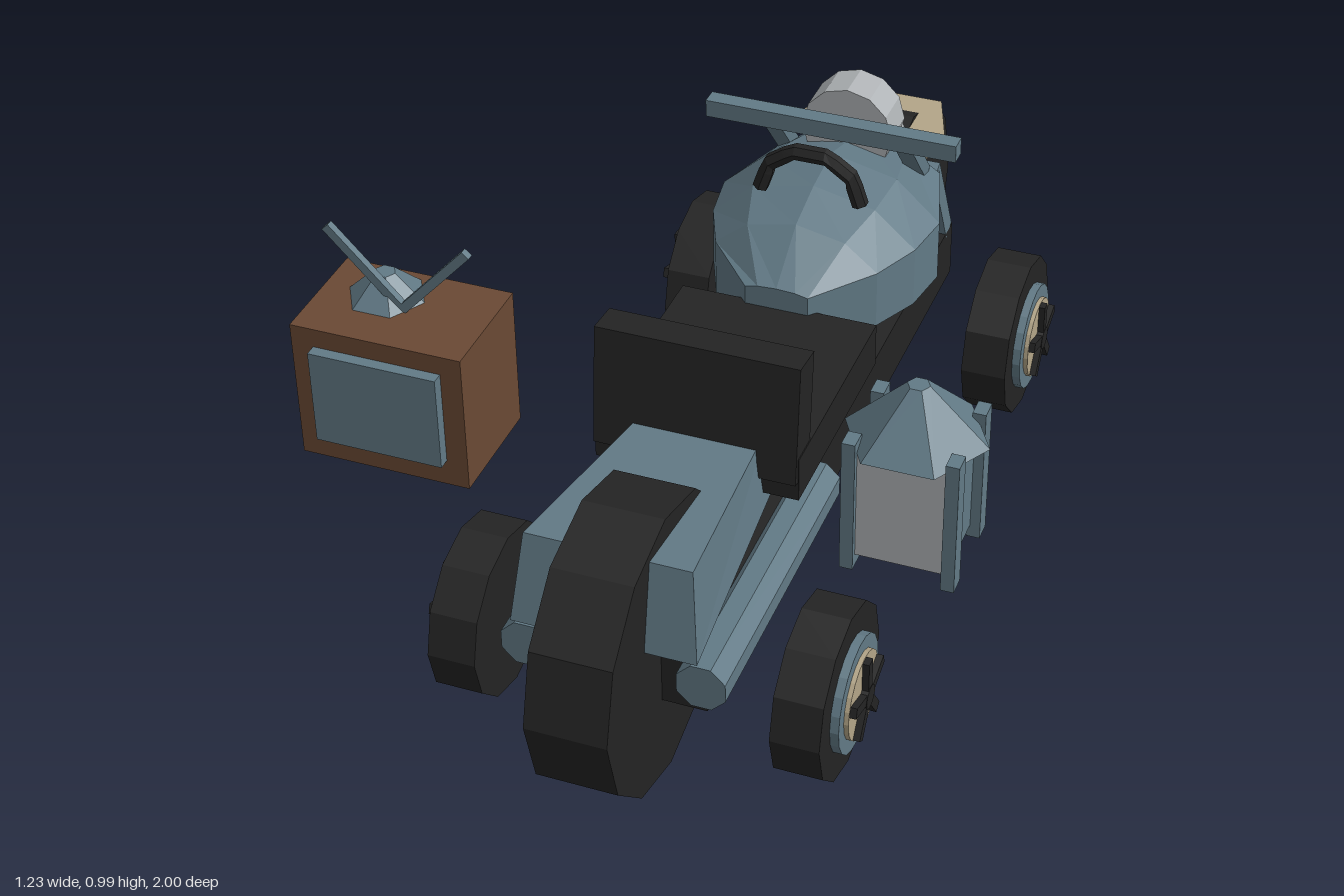
import * as THREE from 'three';

const mat = (name, color) => {
  const m = new THREE.MeshStandardMaterial({ color });
  m.name = name;
  m.flatShading = true;
  return m;
};

export function createModel() {
  const black = mat('black', 0x242424), blue = mat('slate blue', 0x627a86);
  const brown = mat('wood brown', 0x6a4934), tan = mat('tan', 0xb3a588), grey = mat('pale grey', 0xafb3b6);
  const root = new THREE.Group();
  root.name = 'vehicle';

  const add = (name, geo, material, x = 0, y = 0, z = 0, parent = root) => {
    const m = new THREE.Mesh(geo, material);
    m.name = name;
    m.position.set(x, y, z);
    parent.add(m);
    return m;
  };
  // box given by its minimum and maximum on each axis
  const box = (name, material, [x0, x1], [y0, y1], [z0, z1], parent = root) =>
    add(name, new THREE.BoxGeometry(x1 - x0, y1 - y0, z1 - z0), material,
      (x0 + x1) / 2, (y0 + y1) / 2, (z0 + z1) / 2, parent);
  // square bar between two points
  const bar = (name, material, a, b, w, d, parent = root) => {
    const p = new THREE.Vector3(...a), q = new THREE.Vector3(...b);
    const m = add(name, new THREE.BoxGeometry(w, p.distanceTo(q), d), material, 0, 0, 0, parent);
    m.position.copy(p).add(q).multiplyScalar(0.5);
    m.quaternion.setFromUnitVectors(new THREE.Vector3(0, 1, 0), q.sub(p).normalize());
    return m;
  };
  const disc = (r, w, n = 12) => new THREE.CylinderGeometry(r, r, w, n).rotateZ(Math.PI / 2);
  // skin over closed rings, counterclockwise seen from +z, ordered from -z to +z
  const loft = (rings) => {
    const pos = [], n = rings[0].length;
    const tri = (...pts) => pts.forEach((p) => pos.push(...p));
    for (let i = 0; i < rings.length - 1; i++) {
      for (let j = 0; j < n; j++) {
        const k = (j + 1) % n, a = rings[i], b = rings[i + 1];
        tri(a[j], a[k], b[j]);
        tri(a[k], b[k], b[j]);
      }
    }
    const back = rings[0], front = rings[rings.length - 1];
    for (let j = 1; j < n - 1; j++) {
      tri(back[0], back[j + 1], back[j]);
      tri(front[0], front[j], front[j + 1]);
    }
    const g = new THREE.BufferGeometry();
    g.setAttribute('position', new THREE.Float32BufferAttribute(pos, 3));
    g.computeVertexNormals();
    return g;
  };

  // large centre wheels and chassis
  add('frontCentreWheel', disc(0.286, 0.156), black, 0, 0.295, 0.714);
  add('rearCentreWheel', disc(0.286, 0.156), black, 0, 0.295, -0.714);
  box('chassis', black, [-0.165, 0.165], [0.193, 0.318], [-0.74, 0.75]);

  // four outer wheels with spoked hubs
  for (const side of [-1, 1]) {
    for (const z of [-0.593, 0.593]) {
      const w = new THREE.Group();
      w.name = 'outerWheel';
      w.position.set(0, 0.172, z);
      root.add(w);
      add('tyre', disc(0.171, 0.094), black, side * 0.333, 0, 0, w);
      add('rim', disc(0.114, 0.018, 20), blue, side * 0.388, 0, 0, w);
      add('hubPlate', disc(0.086, 0.012, 20), tan, side * 0.4, 0, 0, w);
      add('hubCap', disc(0.024, 0.022, 10), black, side * 0.409, 0, 0, w);
      for (let i = 0; i < 5; i++) {
        const a = (i * Math.PI * 2) / 5;
        const s = add('spoke', new THREE.BoxGeometry(0.02, 0.082, 0.021), black,
          side * 0.409, Math.cos(a) * 0.042, Math.sin(a) * 0.042, w);
        s.rotation.x = a;
      }
    }
    // side pipes
    add('sidePipe', new THREE.CylinderGeometry(0.05, 0.05, 0.625, 8).rotateY(Math.PI / 8).rotateX(Math.PI / 2),
      blue, side * 0.168, 0.283, 0.477);
    // struts of the rear body
    bar('barStrut', blue, [side * 0.14, 0.715, -0.42], [side * 0.14, 0.55, -0.56], 0.036, 0.03);
    bar('lowerStrut', blue, [side * 0.15, 0.53, -0.605], [side * 0.15, 0.315, -0.715], 0.03, 0.04);
  }

  // front hood, widening forward
  const hoodRing = (wb, wt, y0, y1, zb, zt) =>
    [[-wb, y0, zb], [wb, y0, zb], [wt, y1, zt], [-wt, y1, zt]];
  add('hood', loft([
    hoodRing(0.13, 0.115, 0.365, 0.49, 0.29, 0.31),
    hoodRing(0.176, 0.158, 0.368, 0.545, 0.825, 0.79),
  ]), blue);

  // faceted rear body: z, half width, bottom, lower edge, shoulder, top
  const body = [
    [-0.68, 0.145, 0.32, 0.41, 0.49, 0.52],
    [-0.59, 0.175, 0.32, 0.41, 0.535, 0.6],
    [-0.4, 0.232, 0.32, 0.41, 0.54, 0.658],
    [-0.29, 0.215, 0.32, 0.41, 0.54, 0.645],
    [-0.185, 0.17, 0.37, 0.415, 0.54, 0.617],
    [-0.07, 0.065, 0.435, 0.445, 0.53, 0.538],
  ];
  add('rearBody', loft(body.map(([z, w, b, l, s, t]) => [
    [-w * 0.55, b, z], [w * 0.55, b, z], [w, l, z], [w, s, z],
    [w * 0.6, s + (t - s) * 0.72, z], [0, t, z], [-w * 0.6, s + (t - s) * 0.72, z],
    [-w, s, z], [-w, l, z],
  ])), blue);

  // handle and cross bar
  const arch = new THREE.CurvePath();
  const pts = [[-0.105, 0.635], [-0.085, 0.695], [-0.035, 0.73], [0.035, 0.73], [0.085, 0.695], [0.105, 0.635]]
    .map(([x, y]) => new THREE.Vector3(x, y, -0.27));
  for (let i = 0; i < 5; i++) arch.add(new THREE.LineCurve3(pts[i], pts[i + 1]));
  add('handle', new THREE.TubeGeometry(arch, 15, 0.017, 6), black);
  box('crossBar', blue, [-0.264, 0.264], [0.7, 0.737], [-0.42, -0.383]);

  // rear drum, cap and collar plate
  add('rearDrum', new THREE.CylinderGeometry(0.096, 0.096, 0.09, 12).rotateX(Math.PI / 2), grey, 0, 0.655, -0.54);
  add('rearCap', new THREE.CylinderGeometry(0.065, 0.08, 0.045, 6).rotateY(Math.PI / 6), grey, 0, 0.572, -0.672);
  const collar = new THREE.Shape([[-0.11, 0.81], [0.11, 0.81], [0.16, 0.67], [0.12, 0.585], [-0.12, 0.585], [-0.16, 0.67]]
    .map(([x, z]) => new THREE.Vector2(x, z)));
  add('rearCollar', new THREE.ExtrudeGeometry(collar, { depth: 0.027, bevelEnabled: false }).rotateX(-Math.PI / 2),
    tan, 0, 0.545, 0);

  // seat with leaning back
  box('seatCushion', black, [-0.202, 0.202], [0.397, 0.49], [-0.085, 0.37]);
  const seatBack = new THREE.Group();
  seatBack.name = 'seatBack';
  seatBack.position.set(0, 0.56, 0.334);
  seatBack.rotation.x = -0.1;
  root.add(seatBack);
  box('backrest', black, [-0.2, 0.2], [-0.125, 0.122], [-0.037, 0.037], seatBack);
  box('backrestPanel', blue, [-0.155, 0.155], [-0.07, 0.095], [-0.046, -0.037], seatBack);

  // a pair of lanterns
  for (const side of [-1, 1]) {
    const l = new THREE.Group();
    l.name = 'lantern';
    l.position.set(side * 0.488, 0, 0.596);
    root.add(l);
    add('lanternBody', new THREE.BoxGeometry(0.168, 0.22, 0.166), [blue, blue, blue, blue, grey, grey], 0, 0.68, 0, l);
    for (const x of [-0.09, 0.09]) {
      for (const z of [-0.077, 0.077]) {
        add('lanternPost', new THREE.BoxGeometry(0.024, 0.265, 0.036), blue, x, 0.678, z, l);
      }
    }
    add('lanternRoof', new THREE.CylinderGeometry(0.02, 0.127, 0.103, 6).rotateY(Math.PI / 6), blue, 0, 0.84, 0, l);
  }

  // television around the right lantern
  box('televisionCase', brown, [-0.607, -0.283], [0.566, 0.841], [0.515, 0.735]);
  box('televisionScreen', blue, [-0.565, -0.323], [0.618, 0.804], [0.735, 0.757]);
  bar('antennaLeft', blue, [-0.445, 0.84, 0.628], [-0.31, 0.988, 0.628], 0.017, 0.014);
  bar('antennaRight', blue, [-0.435, 0.84, 0.628], [-0.576, 0.988, 0.628], 0.017, 0.014);

  return root;
}
